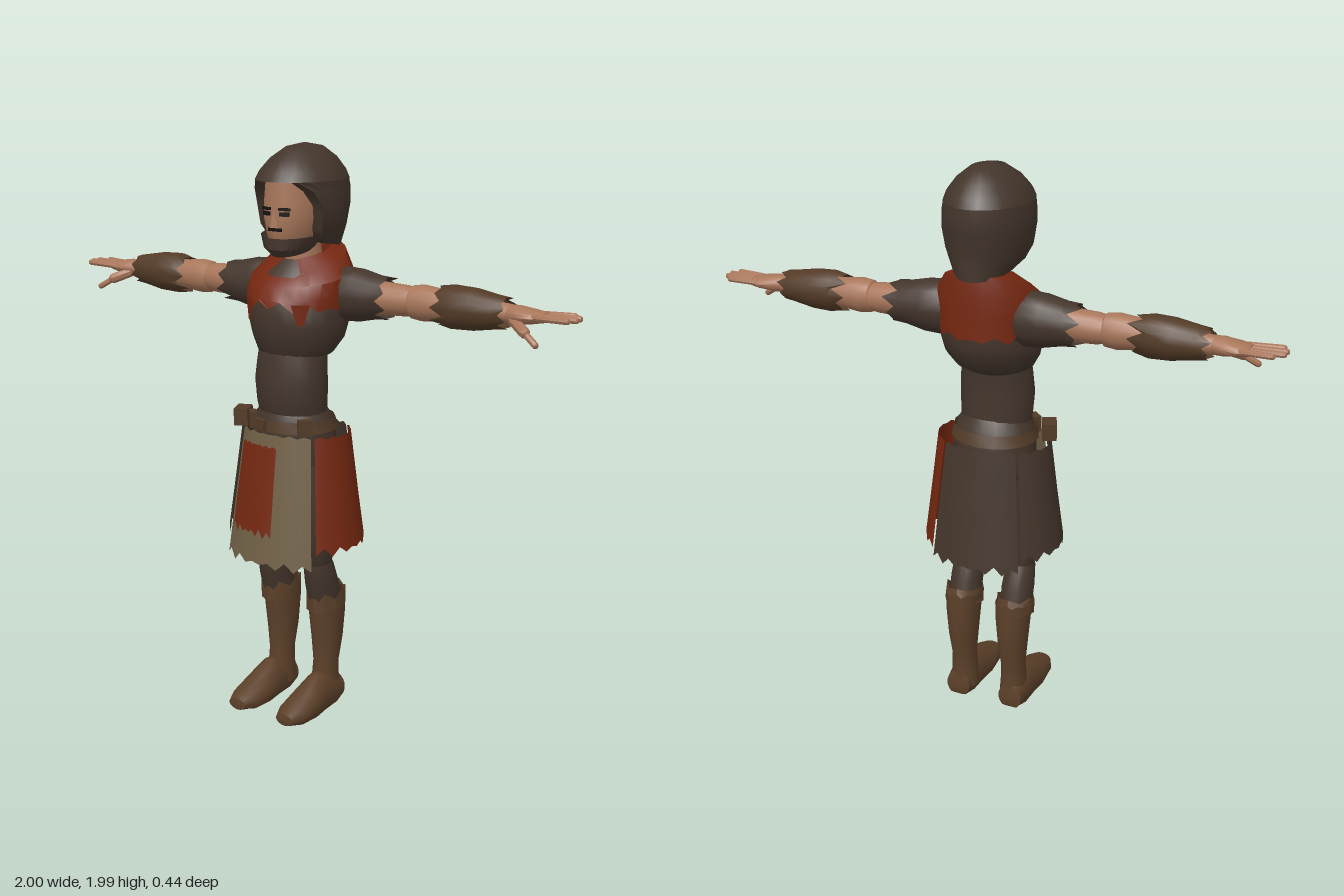
import * as THREE from 'three';
import { toCreasedNormals } from 'three/addons/utils/BufferGeometryUtils.js';

const paint = (name, color) => {
  const m = new THREE.MeshStandardMaterial({ color, side: THREE.DoubleSide });
  m.name = name;
  return m;
};
const TAU = Math.PI * 2;

// Skin of elliptical cross-sections listed from the top down.
// Row: [y, radiusX, radiusZ, centreZ, { tilt, jag, a0, a1, xc }]; angle 0 is the front, turning to +x.
function sheet(rows, opts = {}) {
  const n = opts.n || 18, pos = [], idx = [];
  rows.forEach(([y, rx, rz, zc = 0, extra]) => {
    const { a0 = 0, a1 = TAU, xc = 0, tilt = 0, jag = 0, lip = false } = { ...opts, ...extra };
    for (let j = 0; j <= n; j++) {
      const t = lip ? (Math.min(Math.max(j, 1), n - 1) - 1) / (n - 2) : j / n;
      const a = a0 + (a1 - a0) * t;
      const pull = lip && (j === 0 || j === n) ? 0.66 : 1;
      const k = j % n;
      const rag = jag * ((k % 2 ? 0.7 : -0.7) + 0.5 * Math.sin(k * 2.3));
      pos.push(xc + Math.sin(a) * rx * pull, y + tilt * Math.cos(a) + rag, zc + Math.cos(a) * rz);
    }
  });
  for (let i = 0; i < rows.length - 1; i++) for (let j = 0; j < n; j++) {
    const a = i * (n + 1) + j, b = a + n + 1;
    idx.push(a, b, b + 1, a, b + 1, a + 1);
  }
  const g = new THREE.BufferGeometry();
  g.setAttribute('position', new THREE.Float32BufferAttribute(pos, 3));
  g.setIndex(idx);
  return g;
}

export function createModel() {
  const cloth = paint('dark cloth', 0x43352b);
  const red = paint('red cloth', 0x742710);
  const cream = paint('cream cloth', 0x6f5f45);
  const skin = paint('skin', 0xa8765a);
  const boot = paint('boot leather', 0x5c4029);
  const leather = paint('bracer leather', 0x523a26);
  const black = paint('black', 0x17110f);

  const model = new THREE.Group();
  const add = (name, geo, mat, parent = model) => {
    const m = new THREE.Mesh(toCreasedNormals(geo, 0.65), mat);
    m.name = name;
    parent.add(m);
    return m;
  };
  const box = (name, size, at, mat, ry = 0) => {
    const m = add(name, new THREE.BoxGeometry(...size), mat);
    m.position.set(...at);
    m.rotation.y = ry;
    return m;
  };

  // Head and neck
  add('head', sheet([
    [1.92, 0.03, 0.05, 0], [1.88, 0.085, 0.1, 0.015], [1.8, 0.098, 0.113, 0.005], [1.75, 0.096, 0.115, 0.005],
    [1.69, 0.08, 0.11, 0.005], [1.65, 0.055, 0.085, 0.01], [1.63, 0.001, 0.001, 0.02],
  ]), skin);
  add('neck', sheet([[1.7, 0.062, 0.065, -0.03], [1.54, 0.075, 0.075, -0.04]]), skin);
  add('nose', new THREE.ConeGeometry(0.016, 0.06, 4).scale(1, 1, 1.3).translate(0, 1.755, 0.122), skin);
  for (const s of [-1, 1]) {
    box('eye', [0.032, 0.013, 0.009], [s * 0.035, 1.768, 0.113], black, s * 0.3);
    box('eyebrow', [0.04, 0.009, 0.009], [s * 0.036, 1.784, 0.113], black, s * 0.3);
  }
  box('mouth', [0.05, 0.01, 0.009], [0, 1.717, 0.117], black);

  // Hood: closed crown, open face, tail at the nape
  add('hoodCrown', sheet([
    [1.988, 0.001, 0.001, -0.05], [1.975, 0.055, 0.075, -0.05], [1.94, 0.1, 0.13, -0.045],
    [1.9, 0.132, 0.165, -0.04], [1.872, 0.142, 0.183, -0.038],
  ], { n: 24 }), cloth);
  const gap = (g) => ({ a0: g, a1: TAU - g });
  add('hoodSides', sheet([
    [1.872, 0.142, 0.183, -0.038, gap(0.65)], [1.84, 0.147, 0.183, -0.04, gap(0.95)],
    [1.79, 0.148, 0.182, -0.04, gap(1.15)], [1.72, 0.138, 0.165, -0.04, gap(1.15)],
    [1.68, 0.118, 0.155, -0.05, gap(1.2)], [1.66, 0.1, 0.15, -0.055, { ...gap(1.35), tilt: 0.025 }],
  ], { n: 22, lip: true }), cloth);
  add('chinStrap', sheet([
    [1.7, 0.108, 0.115, 0.008, { tilt: -0.012 }], [1.665, 0.095, 0.112, 0.01, { tilt: -0.015 }],
    [1.645, 0.07, 0.085, 0.015, { tilt: -0.02 }], [1.645, 0.035, 0.04, 0.02, { tilt: -0.01 }],
  ], { a0: -1.5, a1: 1.5 }), cloth);

  // Torso
  add('chest', sheet([
    [1.62, 0.08, 0.08, -0.055], [1.56, 0.155, 0.13, -0.04], [1.47, 0.172, 0.15, -0.02], [1.4, 0.176, 0.155, -0.018],
    [1.35, 0.165, 0.14, -0.015], [1.3, 0.135, 0.115, 0], [1.28, 0.1, 0.09, 0.01],
  ], { n: 22 }), cloth);
  add('belly', sheet([
    [1.34, 0.12, 0.1, 0.01], [1.27, 0.128, 0.1, 0.02], [1.2, 0.133, 0.104, 0.026],
    [1.12, 0.128, 0.105, 0.02], [1.08, 0.122, 0.1, 0.015],
  ]), cloth);
  add('hips', sheet([
    [1.12, 0.11, 0.095, 0.012], [1.08, 0.137, 0.115, 0.01], [1.03, 0.148, 0.128, 0.005],
    [0.92, 0.15, 0.125, 0], [0.83, 0.08, 0.08, 0], [0.82, 0.001, 0.001, 0],
  ]), cloth);

  // Ragged shoulder mantle
  add('mantle', sheet([
    [1.64, 0.085, 0.09, -0.06, { tilt: -0.025 }], [1.61, 0.14, 0.135, -0.055, { tilt: -0.045 }],
    [1.56, 0.178, 0.165, -0.035, { tilt: -0.03 }], [1.5, 0.183, 0.175, -0.025, { tilt: -0.01 }],
    [1.455, 0.18, 0.179, -0.024, { tilt: 0.015, jag: 0.014 }],
  ], { n: 26 }), red);
  for (const s of [-1, 1]) {
    add('mantleTatter', sheet([
      [1.48, 0.182, 0.178, -0.022, { a0: s * 0.45, a1: s * 0.8 }],
      [1.41, 0.18, 0.174, -0.022, { a0: s * 0.55, a1: s * 0.68 }],
    ], { n: 3 }), red);
  }

  // Belt and pouches
  add('belt', sheet([[1.075, 0.145, 0.128, 0.008], [1.035, 0.155, 0.138, 0.004]]), leather);
  box('pouch', [0.05, 0.06, 0.07], [-0.175, 1.055, 0.07], leather, 0.4);
  box('buckle', [0.05, 0.04, 0.02], [-0.05, 1.055, 0.135], leather, -0.2);
  for (const s of [-1, 1]) box('beltLoop', [0.05, 0.055, 0.025], [s * 0.11, 1.06, 0.1], leather, s * 0.8);

  // Skirt panels hung from one flared ellipse
  const panel = (name, mat, a0, a1, top, bottom, grow = 0) => {
    const row = (y, jag) => {
      const t = (1.03 - y) / 0.45;
      return [y, 0.203 + 0.055 * t + grow, 0.152 + 0.067 * t + grow, -0.002, { jag }];
    };
    add(name, sheet([row(top, 0.004), row((top + bottom) / 2, 0), row(bottom, 0.014)], { a0, a1, n: 12 }), mat);
  };
  panel('frontPanel', cream, -0.76, 0.76, 1.03, 0.585);
  panel('frontBanner', red, -0.61, 0.16, 0.99, 0.69, 0.007);
  panel('leftPanel', red, 0.83, 2.4, 1.03, 0.64);
  panel('rightPanel', cloth, -2.4, -0.83, 1.03, 0.65);
  panel('backPanel', cloth, 2.45, TAU - 2.45, 1.03, 0.612);

  // Legs and boots
  for (const s of [-1, 1]) {
    const leg = new THREE.Group();
    leg.name = s > 0 ? 'leftLeg' : 'rightLeg';
    leg.scale.x = s;
    model.add(leg);
    add('thigh', sheet([
      [0.95, 0.07, 0.09, 0, { xc: 0.075 }], [0.8, 0.073, 0.085, 0.015, { xc: 0.085 }],
      [0.66, 0.065, 0.07, 0.018], [0.57, 0.052, 0.056, 0.01], [0.54, 0.045, 0.05, 0.005],
    ], { xc: 0.1 }), cloth, leg);
    add('knee', sheet([
      [0.58, 0.04, 0.045, 0.01], [0.54, 0.053, 0.057, 0.002], [0.47, 0.058, 0.064, -0.018], [0.36, 0.055, 0.065, -0.045],
    ], { xc: 0.1 }), cloth, leg);
    add('bootShaft', sheet([
      [0.415, 0.064, 0.078, -0.052, { tilt: -0.02, jag: 0.008 }], [0.35, 0.06, 0.076, -0.056],
      [0.25, 0.052, 0.066, -0.058], [0.16, 0.043, 0.053, -0.052], [0.1, 0.046, 0.055, -0.048], [0.03, 0.05, 0.058, -0.05],
    ], { xc: 0.098 }), boot, leg);
    add('bootCuff', sheet([
      [0.435, 0.066, 0.07, -0.035, { tilt: -0.01, jag: 0.012 }], [0.38, 0.068, 0.08, -0.048, { tilt: -0.02 }],
    ], { xc: 0.1, n: 10 }), boot, leg);
    // Sections run from toe to heel, flattened at the sole
    const foot = sheet([
      [0.22, 0.001, 0.001, -0.025], [0.215, 0.035, 0.022, -0.025], [0.17, 0.056, 0.042, -0.024],
      [0.09, 0.062, 0.066, -0.03], [0.02, 0.053, 0.094, -0.036], [-0.05, 0.05, 0.08, -0.04],
      [-0.1, 0.045, 0.05, -0.04], [-0.112, 0.001, 0.001, -0.035],
    ], { xc: 0.104 }).rotateX(Math.PI / 2);
    const p = foot.attributes.position;
    for (let i = 0; i < p.count; i++) p.setY(i, Math.max(p.getY(i), 0));
    add('foot', foot, boot, leg);
  }

  // Arms: sections run from the hand to the shoulder, then turn sideways
  for (const s of [-1, 1]) {
    const arm = new THREE.Group();
    arm.name = s > 0 ? 'leftArm' : 'rightArm';
    arm.scale.x = s;
    arm.position.set(0, 1.497, -0.072);
    model.add(arm);
    const along = (name, rows, mat, n = 16) => add(name, sheet(rows, { n }).rotateZ(-Math.PI / 2), mat, arm);
    along('sleeve', [
      [0.325, 0.07, 0.07, 0, { jag: 0.022 }], [0.28, 0.074, 0.073], [0.21, 0.09, 0.08], [0.15, 0.093, 0.082], [0.1, 0.07, 0.07],
    ], cloth);
    along('upperArm', [[0.43, 0.045, 0.045], [0.39, 0.052, 0.052], [0.25, 0.058, 0.055]], skin);
    along('forearm', [
      [0.8, 0.028, 0.032], [0.74, 0.033, 0.035], [0.62, 0.045, 0.045], [0.52, 0.053, 0.05],
      [0.46, 0.06, 0.054], [0.42, 0.055, 0.05], [0.4, 0.03, 0.03],
    ], skin);
    along('bracer', [
      [0.755, 0.05, 0.05, 0, { jag: 0.014 }], [0.72, 0.055, 0.056], [0.64, 0.069, 0.066],
      [0.57, 0.072, 0.066], [0.525, 0.063, 0.058, 0, { jag: 0.024 }],
    ], leather);
    along('palm', [
      [0.89, 0.001, 0.001, -0.004], [0.885, 0.015, 0.042, -0.004], [0.85, 0.022, 0.05, -0.002],
      [0.8, 0.03, 0.045, 0.002], [0.76, 0.03, 0.032],
    ], skin);
    const finger = (name, a, b, r) => {
      const from = new THREE.Vector3(...a), dir = new THREE.Vector3(...b).sub(from);
      const m = add(name, new THREE.CapsuleGeometry(r, dir.length(), 3, 8), skin, arm);
      m.position.copy(from).addScaledVector(dir, 0.5);
      m.quaternion.setFromUnitVectors(new THREE.Vector3(0, 1, 0), dir.normalize());
    };
    [0.96, 0.988, 0.99, 0.975].forEach((tip, k) => {
      const z = -0.044 + k * 0.027;
      finger('finger', [0.86, 0.003, z * 0.9], [tip, 0.006, z * 1.1], 0.0105);
    });
    finger('thumbBase', [0.79, -0.015, 0.025], [0.845, -0.04, 0.06], 0.018);
    finger('thumb', [0.845, -0.04, 0.06], [0.892, -0.07, 0.078], 0.011);
  }
  return model;
}
